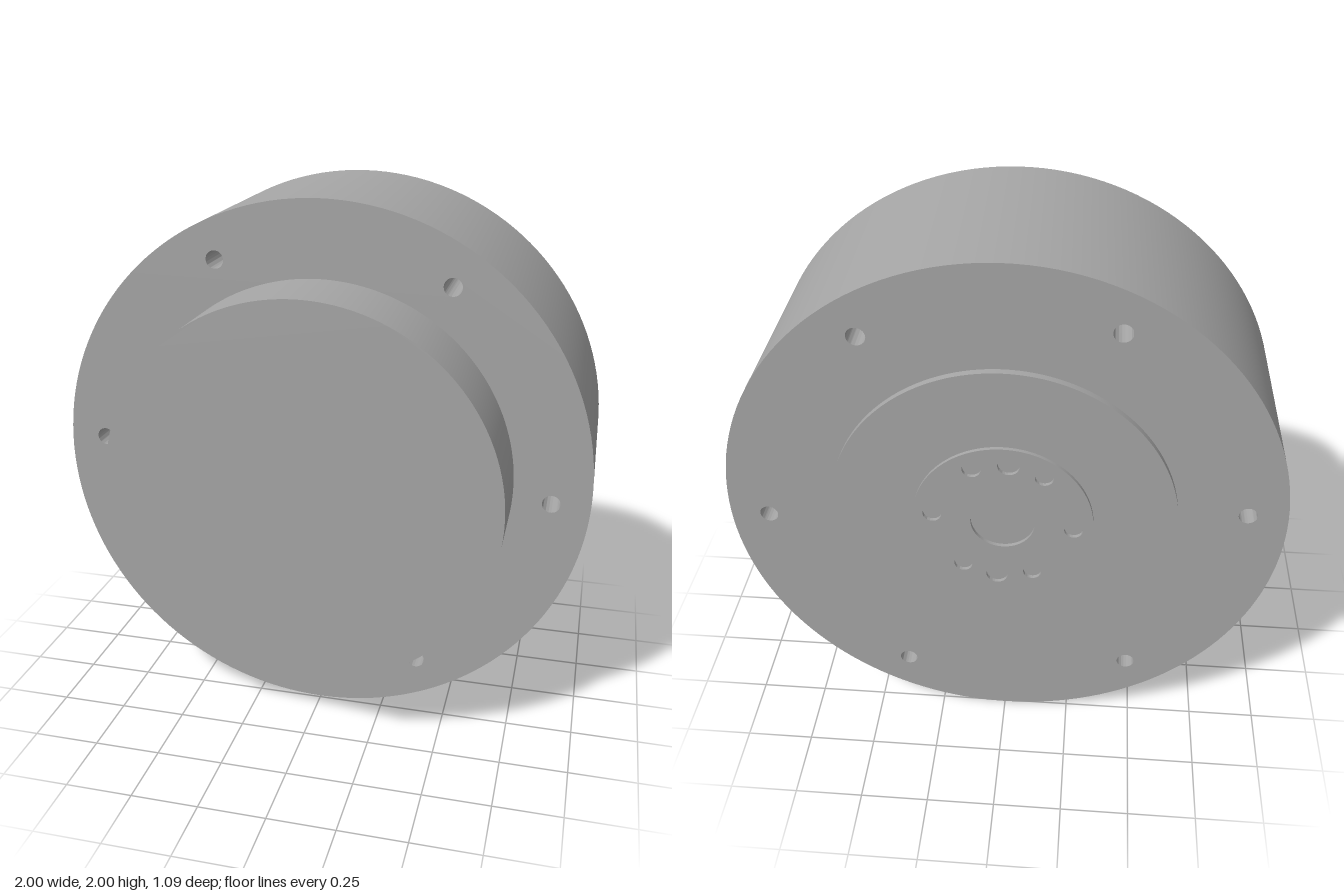
import * as THREE from 'three';
import { toCreasedNormals } from 'three/addons/utils/BufferGeometryUtils.js';

const rad = THREE.MathUtils.degToRad;
const steel = new THREE.MeshStandardMaterial({ color: 0xa6a6a6 });
steel.name = 'grey metal';

// Disc outline, optionally cut by a straight chord between two angles
function disc(radius, start = 0, end = 360) {
  const shape = new THREE.Shape();
  shape.absarc(0, 0, radius, rad(start), rad(end), false);
  shape.closePath();
  return shape;
}

// Round hole at a polar position
function drill(shape, pitchRadius, angle, radius) {
  const hole = new THREE.Path();
  const a = rad(angle);
  hole.absarc(pitchRadius * Math.cos(a), pitchRadius * Math.sin(a), radius, 0, Math.PI * 2, true);
  shape.holes.push(hole);
}

function slab(name, shape, zBack, zFront) {
  const geometry = new THREE.ExtrudeGeometry(shape, {
    depth: zFront - zBack, bevelEnabled: false, curveSegments: 72,
  });
  const mesh = new THREE.Mesh(toCreasedNormals(geometry, 0.5), steel);
  mesh.name = name;
  mesh.position.set(0, 1, zBack);
  return mesh;
}

export function createModel() {
  const group = new THREE.Group();
  group.name = 'flangedHousing';

  // Main drum with six through bolt holes
  const drum = disc(1);
  for (let i = 0; i < 6; i++) drill(drum, 0.86, -3.5 + i * 60, 0.033);
  group.add(slab('drum', drum, -0.506, 0.241));

  // Front boss with a tilted flat at the bottom
  group.add(slab('frontBoss', disc(0.72, -71.7, 235.2), 0.241, 0.546));

  // Raised rear plate
  group.add(slab('rearPlate', disc(0.617), -0.532, -0.506));

  // Rear hub: centre recess, six screw holes and two larger dowel holes
  const hub = disc(0.321);
  drill(hub, 0, 0, 0.115);
  for (const a of [0, 60, 120, 180, 240, 300]) drill(hub, 0.253, 5 + a, 0.033);
  for (const a of [90, 270]) drill(hub, 0.253, 5 + a, 0.039);
  group.add(slab('rearHub', hub, -0.546, -0.532));

  return group;
}
